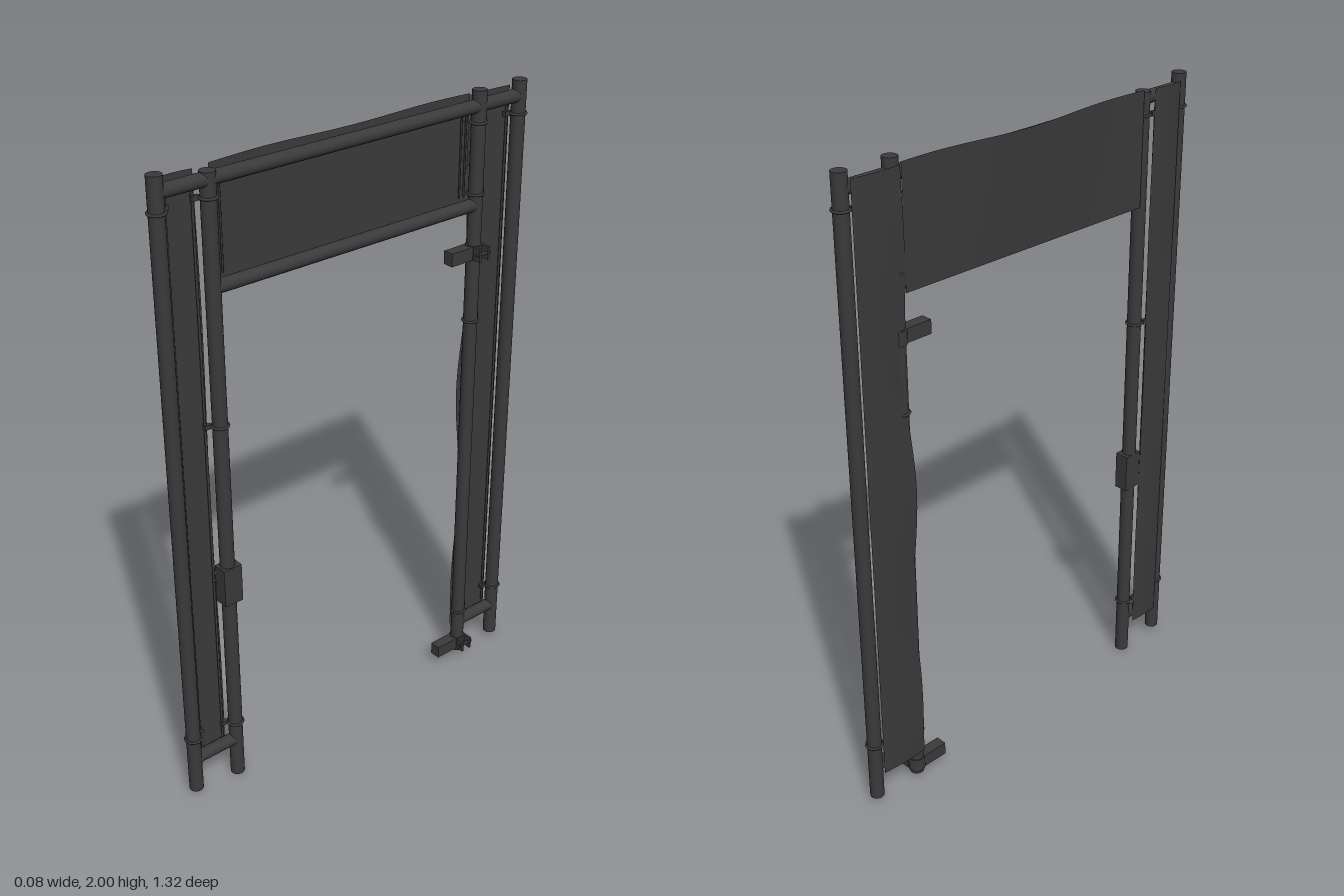
import * as THREE from 'three';

const X = -0.009; // plane of the frame
const R = 0.022; // pipe radius
const pipeMat = new THREE.MeshStandardMaterial({ color: 0x3a3a3a });
const clothMat = new THREE.MeshStandardMaterial({ color: 0x3a3a3a, side: THREE.DoubleSide });

export function createModel() {
  const model = new THREE.Group();

  const add = (name, geometry, x = 0, y = 0, z = 0, material = pipeMat) => {
    const mesh = new THREE.Mesh(geometry, material);
    mesh.name = name;
    mesh.position.set(x, y, z);
    model.add(mesh);
    return mesh;
  };
  const box = (name, sx, sy, sz, x, y, z) => add(name, new THREE.BoxGeometry(sx, sy, sz), x, y, z);
  const upright = (name, z, y0, y1, r, x = X, sides = 24) =>
    add(name, new THREE.CylinderGeometry(r, r, y1 - y0, sides), x, (y0 + y1) / 2, z);
  const rail = (name, y, z0, z1, r = 0.02) => {
    const mesh = add(name, new THREE.CylinderGeometry(r, r, Math.abs(z1 - z0), 24), X, y, (z0 + z1) / 2);
    mesh.rotation.x = Math.PI / 2;
  };

  // Uprights
  const zPost = { leftOuter: 0.632, leftInner: 0.476, rightInner: -0.468, rightOuter: -0.628 };
  upright('leftOuterPost', zPost.leftOuter, 0.02, 2, R);
  upright('leftInnerPost', zPost.leftInner, 0, 1.975, R);
  upright('rightInnerPost', zPost.rightInner, 0.02, 2, R);
  upright('rightOuterPost', zPost.rightOuter, 0.02, 2, R);

  // Short rails at both ends of the side frames, and the lower header rail
  for (const y of [0.135, 1.953]) {
    rail('leftSideRail', y, zPost.leftOuter, zPost.leftInner);
    rail('rightSideRail', y, zPost.rightOuter, zPost.rightInner);
  }
  rail('headerLowerRail', 1.655, zPost.leftInner, zPost.rightInner);

  // Upper header rail, slightly bowed to the back
  const bow = (z) => Math.pow(Math.cos((Math.PI * z) / 0.95), 2);
  const path = [];
  for (let i = 0; i <= 12; i++) {
    const z = zPost.leftInner + (zPost.rightInner - zPost.leftInner) * (i / 12);
    path.push(new THREE.Vector3(X - 0.009 * bow(z), 1.953 - 0.004 * bow(z), z));
  }
  add('headerUpperRail', new THREE.TubeGeometry(new THREE.CatmullRomCurve3(path), 48, 0.02, 20));

  // Cloth sheets: unit planes mapped by a rule to (x, y, z)
  const cloth = (name, nu, nv, rule) => {
    const geometry = new THREE.PlaneGeometry(1, 1, nu, nv);
    const p = geometry.attributes.position;
    for (let i = 0; i < p.count; i++) {
      p.setXYZ(i, ...rule(p.getX(i) + 0.5, p.getY(i) + 0.5));
    }
    geometry.computeVertexNormals();
    add(name, geometry, 0, 0, 0, clothMat);
  };
  cloth('headerCloth', 40, 8, (u, v) => {
    const z = 0.456 - 0.908 * u;
    const top = 1.984 + 0.004 * Math.sin(9 * u);
    return [-0.032 - 0.01 * bow(z) * v, 1.632 + (top - 1.632) * v, z];
  });
  cloth('leftCloth', 6, 40, (u, v) => [
    -0.031 - 0.003 * Math.sin(Math.PI * u) * (1 + Math.sin(8 * v)),
    0.107 + 1.873 * v,
    0.615 - (0.111 + 0.003 * Math.sin(10 * v)) * u,
  ]);
  cloth('rightCloth', 8, 60, (u, v) => [
    -0.032 - 0.004 * Math.sin(Math.PI * u) - 0.004 * u * Math.sin(14 * v + 1),
    0.107 + 1.873 * v,
    -0.612 + (0.155 + 0.011 * Math.sin(Math.PI * v) * Math.sin(16 * v)) * u,
  ]);

  // Thin rods that stretch the cloth edges
  for (const z of [0.597, 0.514, -0.506, -0.598]) upright('sideRod', z, 0.155, 1.935, 0.004, -0.026, 8);
  for (const z of [0.449, 0.43, -0.418, -0.436]) upright('headerRod', z, 1.68, 1.93, 0.003, -0.027, 8);

  // Ties around the posts, each with a small tab reaching to the cloth
  const ties = [
    [zPost.leftOuter, -1, [0.215, 1.9]],
    [zPost.leftInner, 1, [0.2, 1.245, 1.905]],
    [zPost.rightInner, -1, [0.18, 1.28, 1.69, 1.905]],
    [zPost.rightOuter, 1, [0.215, 1.9]],
  ];
  for (const [z, side, heights] of ties) {
    for (const y of heights) {
      const ring = add('tie', new THREE.TorusGeometry(R + 0.002, 0.004, 8, 24), X, y, z);
      ring.rotation.x = Math.PI / 2;
      box('tieTab', 0.012, 0.014, 0.022, -0.024, y, z + side * 0.032);
    }
  }

  // Latch box on the left inner post
  box('latchBox', 0.046, 0.125, 0.062, -0.007, 0.72, 0.474);

  // Hinge brackets on the right inner post: clamp, arm, ears and bolt
  for (const y of [0.053, 1.508]) {
    upright('hingeClamp', zPost.rightInner, y - 0.022, y + 0.022, 0.026);
    box('hingeArm', 0.036, 0.042, 0.095, X, y, -0.413);
    for (const z of [-0.489, -0.455]) {
      box('hingeEar', 0.034, 0.042, 0.008, 0.02, y, z);
    }
    const bolt = add('hingeBolt', new THREE.CylinderGeometry(0.005, 0.005, 0.056, 8), 0.028, y, -0.474);
    bolt.rotation.x = Math.PI / 2;
  }

  return model;
}
